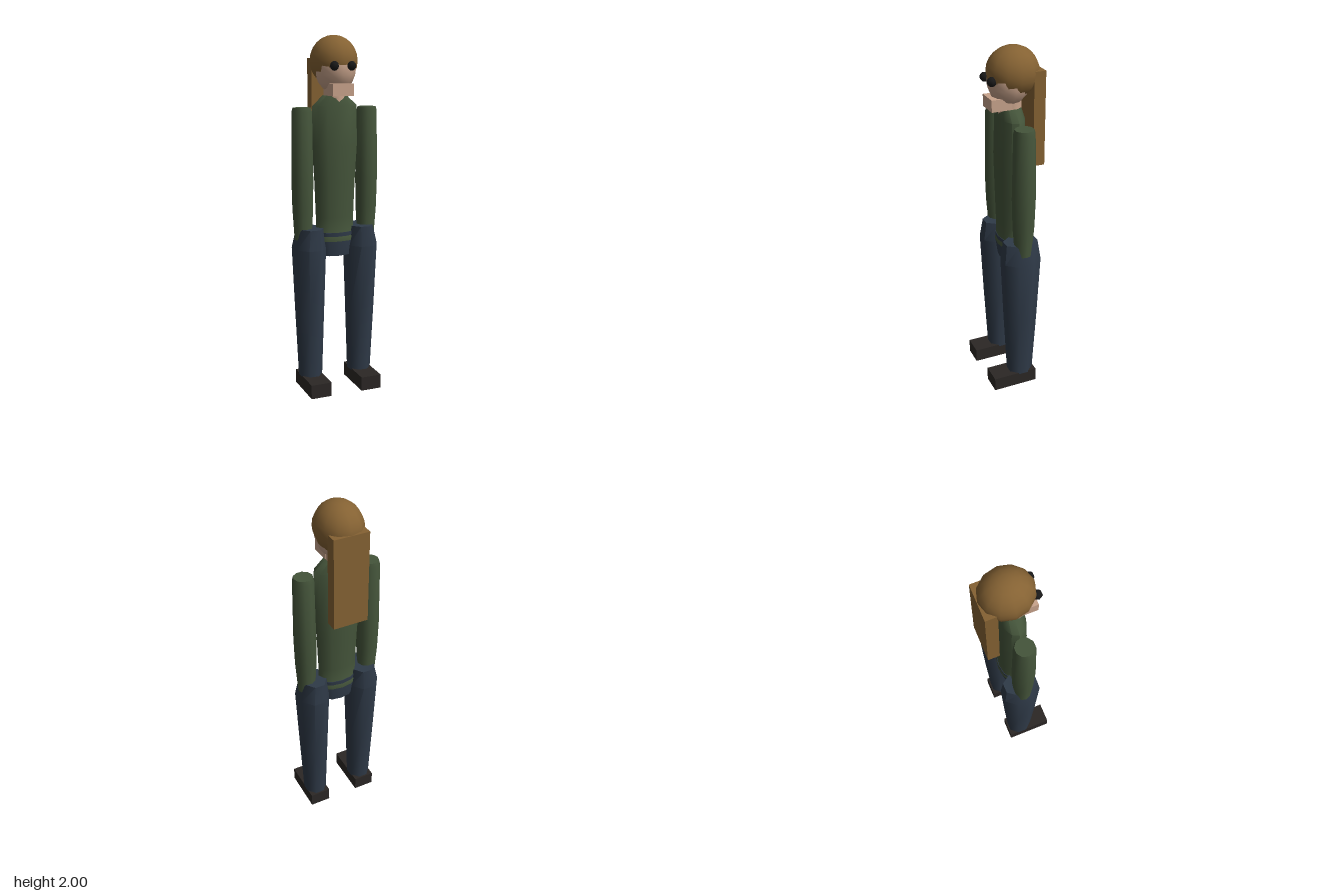
import * as THREE from 'three';
import { toCreasedNormals } from 'three/addons/utils/BufferGeometryUtils.js';

const mat = (color) => new THREE.MeshStandardMaterial({ color });

// Closed tube through elliptical rings [y, radiusX, radiusZ, centreX], listed from the top down
function loft(rings, sides, turn = 0) {
  const n = rings.length - 1;
  const geo = new THREE.CylinderGeometry(1, 1, 1, sides, n, false, turn);
  const p = geo.attributes.position;
  for (let i = 0; i < p.count; i++) {
    const [y, rx, rz, cx = 0] = rings[Math.round((0.5 - p.getY(i)) * n)];
    p.setXYZ(i, cx + p.getX(i) * rx, y, p.getZ(i) * rz - 0.01);
  }
  return toCreasedNormals(geo, 0.9);
}

export function createModel() {
  const model = new THREE.Group();
  const skin = mat(0xc9a48c), hairColor = mat(0x856233), shirt = mat(0x44543a);
  const denim = mat(0x2f3a48), leather = mat(0x2b2725), dark = mat(0x191919);

  const add = (name, geo, material, x = 0, y = 0, z = 0) => {
    const mesh = new THREE.Mesh(geo, material);
    mesh.name = name;
    mesh.position.set(x, y, z);
    model.add(mesh);
    return mesh;
  };
  const box = (name, material, size, pos) =>
    add(name, new THREE.BoxGeometry(...size), material, ...pos);
  const ball = (name, material, radii, pos, w = 12, h = 10) =>
    add(name, new THREE.SphereGeometry(1, w, h), material, ...pos).scale.set(...radii);

  // Head: skull, jaw, hair shell and long flat ponytail
  ball('head', skin, [0.115, 0.145, 0.12], [0, 1.83, -0.004]);
  ball('hair', hairColor, [0.13, 0.138, 0.145], [0, 1.862, -0.027], 12, 12);
  box('jaw', skin, [0.124, 0.065, 0.116], [0, 1.708, 0.058]);
  box('ponytail', hairColor, [0.2, 0.52, 0.066], [0, 1.615, -0.139]);
  add('neck', loft([[1.76, 0.062, 0.066], [1.6, 0.062, 0.066]], 10), skin);

  // Torso and hips, overlapping in a band at the waist
  add('torso', loft([
    [1.675, 0.07, 0.06], [1.62, 0.132, 0.07], [1.4, 0.135, 0.078],
    [1.2, 0.122, 0.074], [1.0, 0.114, 0.068], [0.9, 0.114, 0.068],
    [0.888, 0.119, 0.073], [0.865, 0.119, 0.073],
  ], 12), shirt);
  add('hips', loft([
    [0.915, 0.117, 0.071], [0.86, 0.117, 0.071], [0.78, 0.1, 0.06],
  ], 12), denim);

  // Paired parts
  for (const [side, s] of [['left', 1], ['right', -1]]) {
    ball(side + 'Eye', dark, [0.026, 0.026, 0.026], [s * 0.05, 1.835, 0.11], 6, 6);
    add(side + 'Arm', loft([
      [1.612, 0.052, 0.052, s * 0.193], [1.59, 0.058, 0.058, s * 0.193],
      [1.22, 0.0625, 0.065, s * 0.193], [1.05, 0.06, 0.06, s * 0.192],
      [0.88, 0.05, 0.046, s * 0.191],
    ], 10, Math.PI / 2), shirt);
    add(side + 'Leg', loft([
      [0.943, 0.073, 0.1, s * 0.151], [0.83, 0.094, 0.116, s * 0.157],
      [0.45, 0.08, 0.098, s * 0.155], [0.07, 0.066, 0.076, s * 0.152],
    ], 8, Math.PI / 8), denim);
    box(side + 'Shoe', leather, [0.12, 0.08, 0.262], [s * 0.153, 0.04, 0.041]);
  }
  return model;
}
